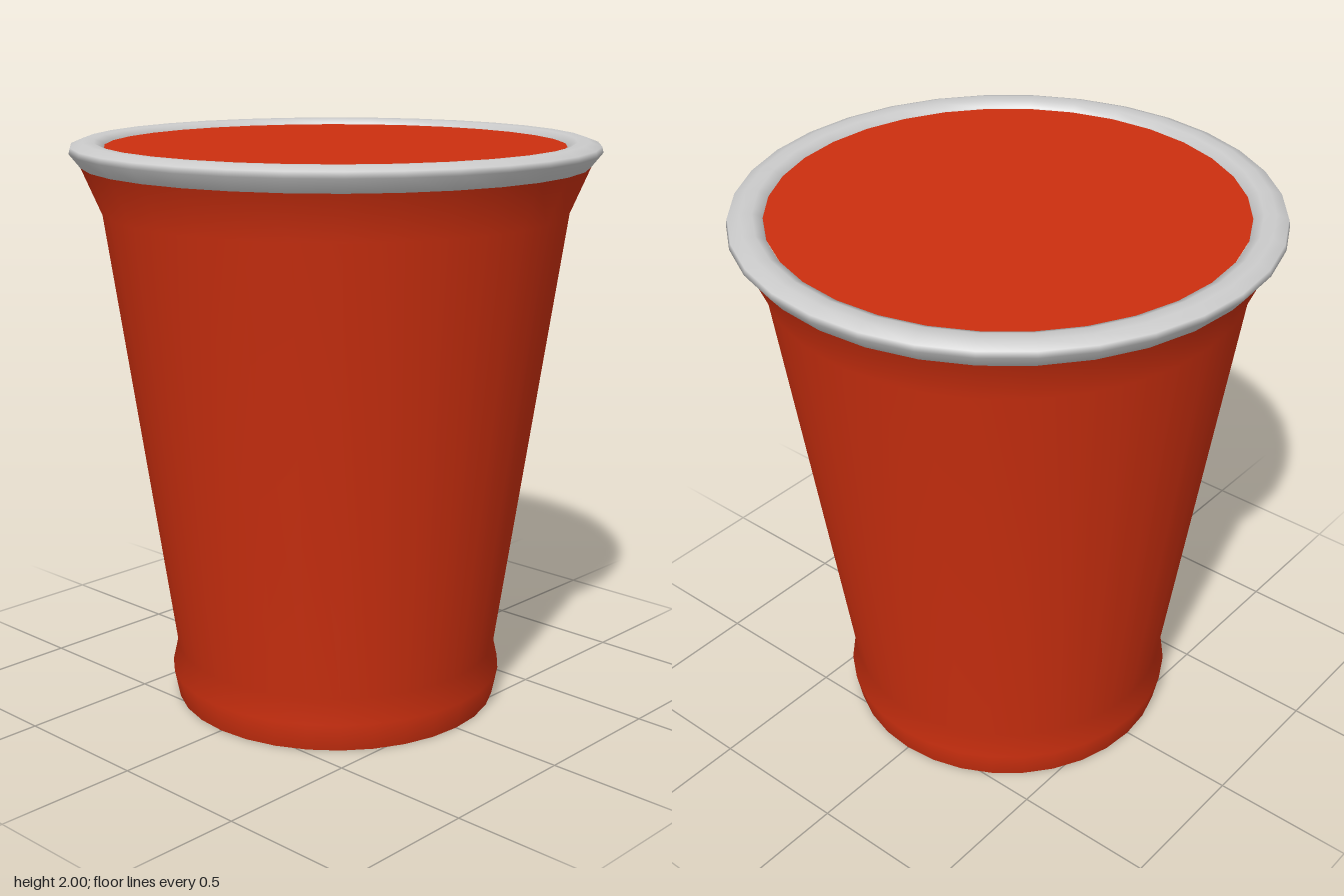
import * as THREE from 'three';

const SIDES = 32;

// Revolves [radius, height] pairs around the vertical axis.
function lathe(name, profile, material) {
  const points = profile.map(([r, y]) => new THREE.Vector2(r, y));
  const mesh = new THREE.Mesh(new THREE.LatheGeometry(points, SIDES), material);
  mesh.name = name;
  return mesh;
}

// Flat disc at a height, facing up (+1) or down (-1).
function disc(name, radius, y, facing, material) {
  const geometry = new THREE.CircleGeometry(radius, SIDES);
  geometry.rotateX(-facing * Math.PI / 2);
  const mesh = new THREE.Mesh(geometry, material);
  mesh.name = name;
  mesh.position.y = y;
  return mesh;
}

export function createModel() {
  const red = new THREE.MeshStandardMaterial({ color: 0xcc2f0f });
  const grey = new THREE.MeshStandardMaterial({ color: 0xcccccc });
  const cup = new THREE.Group();
  cup.name = 'cup';

  // Tapered wall with a recessed foot, a bulge at the base and a flared top
  cup.add(lathe('cupWall', [
    [0.545, 0.035], [0.57, 0], [0.577, 0], [0.597, 0.1],
    [0.577, 0.19], [0.8, 1.76], [0.868, 1.92],
  ], red));

  // Rolled lip
  cup.add(lathe('rim', [
    [0.865, 1.915], [0.905, 1.965], [0.9, 1.985], [0.86, 2],
    [0.82, 1.998], [0.79, 1.985], [0.783, 1.95],
  ], grey));

  // Flat fill just below the lip, and the recessed underside
  cup.add(disc('fillSurface', 0.787, 1.98, 1, red));
  cup.add(disc('base', 0.545, 0.035, -1, red));

  return cup;
}
